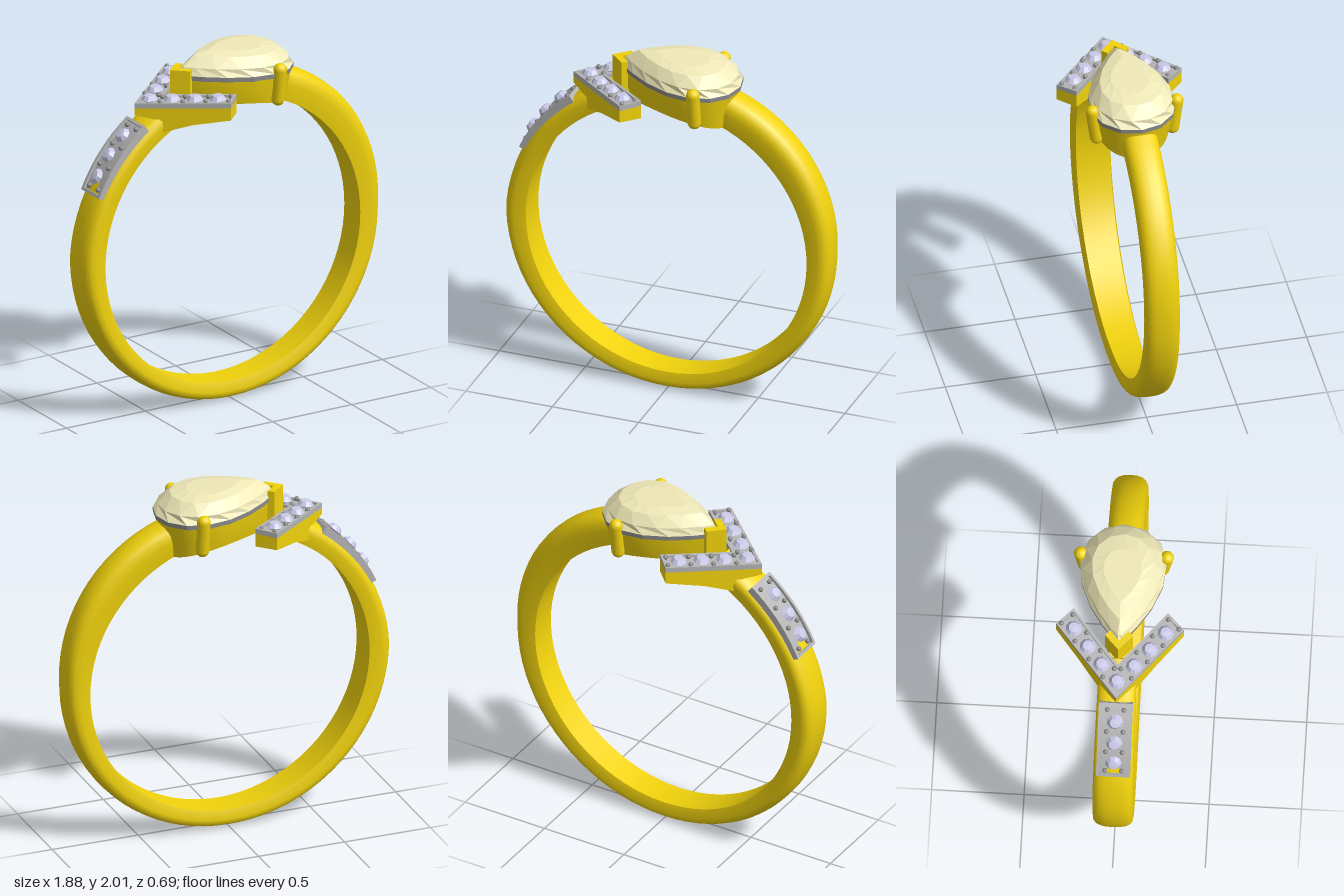
import * as THREE from 'three';
import { toCreasedNormals } from 'three/addons/utils/BufferGeometryUtils.js';

const mat = (color, flatShading = false) => new THREE.MeshStandardMaterial({ color, flatShading });
const gold = mat(0xf0d20c), silver = mat(0xb4b4b4), darkSilver = mat(0x8c8c8c);
const cream = mat(0xf0e9b8, true), pavilionGrey = mat(0xcccccc, true), paleBlue = mat(0xcacae8, true);
const rad = THREE.MathUtils.degToRad, lerp = THREE.MathUtils.lerp;
const CY = 0.94; // height of the band's centre

// Skin a row of cross-sections (lists of [x, y, z]); faces are turned outward by signed volume
function loft(sections, { closed = false, creaseDeg = 40 } = {}) {
  const n = sections.length, m = sections[0].length, idx = [];
  for (let i = 0; i < (closed ? n : n - 1); i++) {
    for (let j = 0; j < m; j++) {
      const k = (i + 1) % n, l = (j + 1) % m;
      const a = i * m + j, b = i * m + l, c = k * m + l, d = k * m + j;
      idx.push(a, b, c, a, c, d);
    }
  }
  if (!closed) {
    const e = (n - 1) * m;
    for (let j = 1; j < m - 1; j++) idx.push(0, j + 1, j, e, e + j, e + j + 1);
  }
  const pts = sections.flat().map(p => new THREE.Vector3(...p));
  let volume = 0;
  for (let i = 0; i < idx.length; i += 3) {
    volume += pts[idx[i]].dot(pts[idx[i + 1]].clone().cross(pts[idx[i + 2]]));
  }
  if (volume < 0) idx.reverse();
  const g = new THREE.BufferGeometry().setFromPoints(pts);
  g.setIndex(idx);
  return toCreasedNormals(g, rad(creaseDeg));
}

function add(parent, name, geometry, material) {
  const mesh = new THREE.Mesh(geometry, material);
  mesh.name = name;
  parent.add(mesh);
  return mesh;
}

const polar = (a, r, z) => [r * Math.cos(a), CY + r * Math.sin(a), z];
const outerRadius = a => 0.942 + (Math.sin(a) > 0 ? 0.06 * Math.sin(a) * Math.cos(a) : 0);

// Domed band, open at the top where the head sits
function bandGeometry() {
  const sections = [];
  for (let i = 0; i <= 72; i++) {
    const a = rad(lerp(68, -248, i / 72));
    const ro = outerRadius(a), ri = 0.81 - 0.028 * Math.sin(a);
    const w = 0.097 + 0.013 * Math.max(0, -Math.cos(a)), side = lerp(ri, ro, 0.5);
    const ring = [polar(a, ri, w * 0.85), polar(a, ri, -w * 0.85)];
    for (let j = 0; j <= 10; j++) {
      const t = -Math.PI / 2 + Math.PI * j / 10;
      const s = Math.sign(t) * Math.abs(Math.sin(t)) ** 0.8;
      ring.push(polar(a, side + (ro - side) * Math.cos(t) ** 0.7, w * s));
    }
    sections.push(ring);
  }
  return loft(sections);
}

// Curved strip of rectangular section along the band
function arcStrip(a0, a1, r0, r1, z0, z1) {
  const sections = [];
  for (let i = 0; i <= 8; i++) {
    const a = rad(lerp(a0, a1, i / 8));
    sections.push([polar(a, r0, z0), polar(a, r1, z0), polar(a, r1, z1), polar(a, r0, z1)]);
  }
  return loft(sections, { creaseDeg: 30 });
}

// Pear outline, scaled about a point inside it; the tip is toward -x
const pear = (t, k) => {
  const x = 0.05 + 0.345 * Math.cos(t);
  const z = 0.295 * Math.sin(t) * ((1 + Math.cos(t)) / 2) ** 0.42;
  return [0.07 + (x - 0.07) * k, z * k];
};
const fingerY = x => CY + Math.sqrt(0.785 ** 2 - x * x);

function collarGeometry() {
  const sections = [];
  for (let i = 0; i < 48; i++) {
    const t = i / 48 * Math.PI * 2;
    const at = (k, y) => { const [x, z] = pear(t, k); return [x, y ?? fingerY(x), z]; };
    sections.push([at(0.84), at(0.92, 1.79), at(0.97, 1.868), at(0.84, 1.868), at(0.7)]);
  }
  return loft(sections, { closed: true });
}

// Faceted pear rings: [scale, height, turn in half steps]
function pearRings(rings, n = 16) {
  return loft(rings.map(([k, y, turn]) => Array.from({ length: n }, (_, i) => {
    const [x, z] = pear((i + turn / 2) / n * Math.PI * 2, k);
    return [x, y - 0.03 * (x - 0.05), z];
  })), { creaseDeg: 1 });
}

// Small round faceted stone
const stoneGeometry = new THREE.LatheGeometry(
  [[0, -0.03], [0.045, 0], [0.028, 0.024], [0, 0.026]].map(p => new THREE.Vector2(...p)), 9);
const beadGeometry = new THREE.SphereGeometry(0.014, 8, 6);

// Chevron outline seen from above, inset by d
function chevronPoints(d) {
  const o = [[-0.57 + d * 1.53, 0], [-0.17, 0.345 - d * 1.41], [-0.08 - d * 1.41, 0.255], [-0.38 - d * 1.53, 0]];
  return [...o, [o[2][0], -o[2][1]], [o[1][0], -o[1][1]]].map(p => new THREE.Vector2(...p));
}
const chevronTop = x => 1.787 + (x + 0.57) * 0.08;

function plate(shape, y, depth, slope = 0) {
  const g = new THREE.ExtrudeGeometry(shape, { depth, bevelEnabled: false }).rotateX(-Math.PI / 2);
  const p = g.attributes.position;
  for (let i = 0; i < p.count; i++) p.setY(i, p.getY(i) + y + slope * (p.getX(i) + 0.57));
  g.computeVertexNormals();
  return g;
}

// One gold arm of the chevron; its underside follows the finger
function armGeometry(side) {
  const stations = [[0, 1.72], [0.22, 1.7], [0.3, 1.63], [0.6, 1.68], [1, 1.72]];
  return loft(stations.map(([t, bottom]) => {
    const o = [lerp(-0.57, -0.17, t), side * lerp(0, 0.345, t)];
    const q = [lerp(-0.38, -0.08, t), side * lerp(0, 0.255, t)];
    return [[o[0], bottom, o[1]], [o[0], chevronTop(o[0]) - 0.03, o[1]],
      [q[0], chevronTop(q[0]) - 0.03, q[1]], [q[0], bottom, q[1]]];
  }), { creaseDeg: 20 });
}

export function createModel() {
  const ring = new THREE.Group();
  ring.name = 'ring';
  add(ring, 'band', bandGeometry(), gold);

  // Head: collar, centre stone and prongs
  const head = new THREE.Group();
  head.name = 'head';
  ring.add(head);
  add(head, 'collar', collarGeometry(), gold);
  add(head, 'centreStoneCrown', pearRings([[1, 1.887, 0], [0.93, 1.93, 1], [0.72, 1.985, 0], [0.45, 2, 1]]), cream);
  add(head, 'centreStoneGirdle', pearRings([[1, 1.862, 0], [1.005, 1.887, 0]]), darkSilver);
  add(head, 'centreStonePavilion', pearRings([[0.02, 1.68, 0], [0.5, 1.76, 1], [0.99, 1.862, 0]]), pavilionGrey);
  for (const side of [1, -1]) {
    const prong = add(head, 'sideProng', new THREE.CapsuleGeometry(0.037, 0.176, 6, 12), gold);
    prong.position.set(0.21, 1.815, side * 0.222);
    prong.rotation.x = side * 0.13;
  }
  const v = [[-0.345, 0], [-0.265, 0.075], [-0.235, 0.05], [-0.29, 0], [-0.235, -0.05], [-0.265, -0.075]];
  add(head, 'tipProng', plate(new THREE.Shape(v.map(p => new THREE.Vector2(...p))), 1.75, 0.185), gold);

  // Chevron: gold arms, sunken floor, raised rim, stones
  const chevron = new THREE.Group();
  chevron.name = 'chevron';
  ring.add(chevron);
  const rim = new THREE.Shape(chevronPoints(0));
  rim.holes.push(new THREE.Path(chevronPoints(0.016).reverse()));
  add(chevron, 'chevronRim', plate(rim, 1.757, 0.03, 0.08), silver);
  add(chevron, 'chevronFloor', plate(new THREE.Shape(chevronPoints(0.01)), 1.752, 0.022, 0.08), silver);
  const placeStone = (parent, x, y, z, tilt) => {
    const stone = add(parent, 'smallStone', stoneGeometry, paleBlue);
    stone.position.set(x, y, z);
    stone.rotation.z = tilt;
  };
  placeStone(chevron, -0.475, chevronTop(-0.475), 0, 0.08);
  for (const side of [1, -1]) {
    add(chevron, 'chevronArm', armGeometry(side), gold);
    for (let i = 0; i < 3; i++) {
      const x = -0.385 + i * 0.096, z = 0.088 + i * 0.08;
      placeStone(chevron, x, chevronTop(x), side * z, 0.08);
    }
    // Beads in pairs between the stones
    for (let i = 0; i < 4; i++) {
      const x = -0.43 + i * 0.096, z = 0.048 + i * 0.08;
      for (const e of [1, -1]) {
        const bead = add(chevron, 'bead', beadGeometry, darkSilver);
        bead.position.set(x - e * 0.026, chevronTop(x), side * (z + e * 0.03));
      }
    }
  }

  // Curved channel of three stones on the shoulder
  const channel = new THREE.Group();
  channel.name = 'shoulderChannel';
  ring.add(channel);
  add(channel, 'channelFloor', arcStrip(127, 156, 0.86, 0.916, -0.08, 0.08), silver);
  for (const side of [1, -1]) {
    add(channel, 'channelRail', arcStrip(127, 156, 0.86, 0.932, side * 0.076, side * 0.092), silver);
  }
  for (const a of [127, 155]) add(channel, 'channelEnd', arcStrip(a, a + 1, 0.86, 0.932, -0.08, 0.08), silver);
  for (const a of [133.5, 141.5, 149.5]) {
    const [x, y] = polar(rad(a), 0.935, 0);
    placeStone(channel, x, y, 0, rad(a - 90));
  }
  for (const a of [129.5, 137.5, 145.5, 153.5]) {
    for (const z of [0.045, -0.045]) {
      add(channel, 'bead', beadGeometry, darkSilver).position.set(...polar(rad(a), 0.926, z));
    }
  }
  return ring;
}
